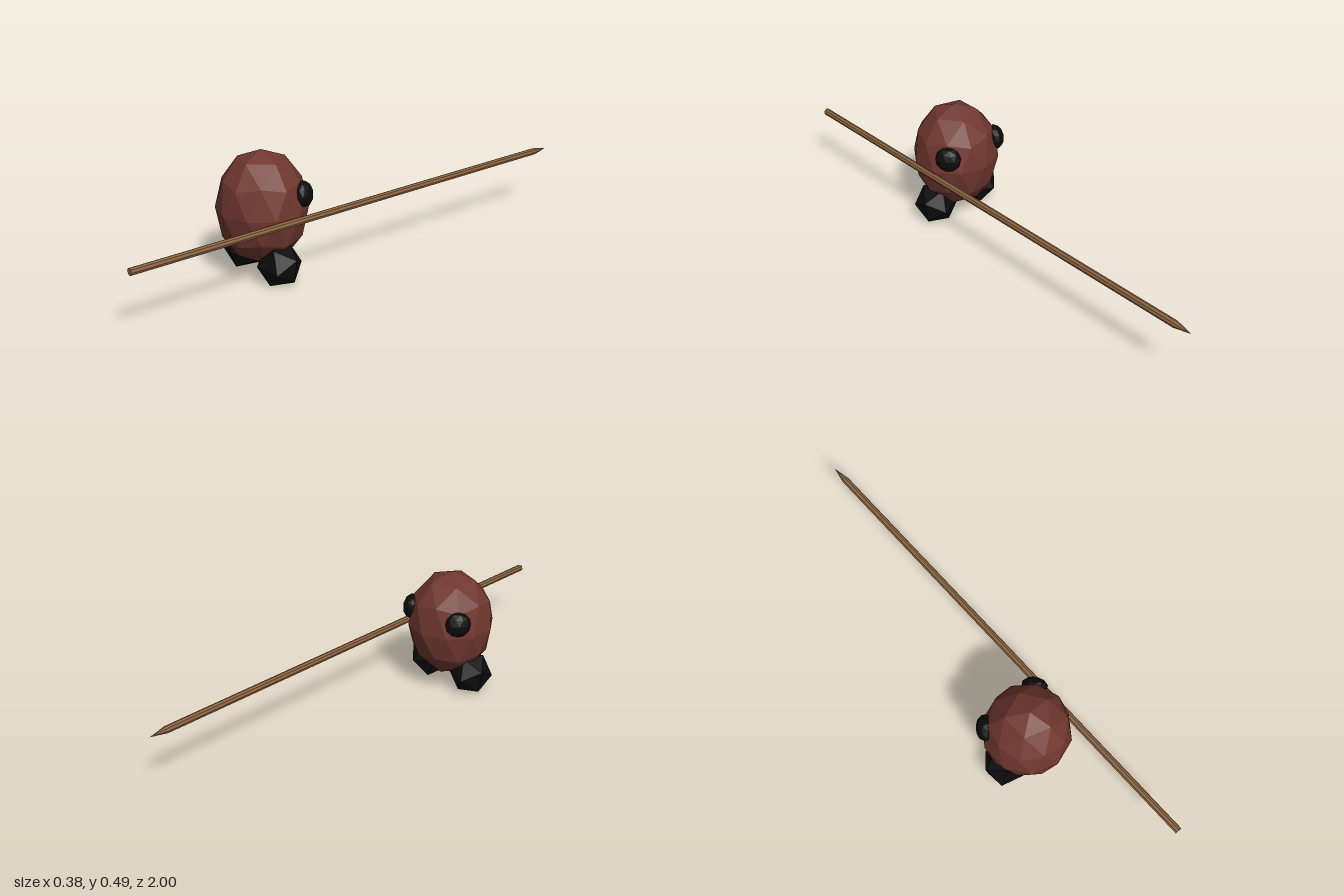
import * as THREE from 'three';

const flat = (name, color) => {
  const m = new THREE.MeshStandardMaterial({ color, flatShading: true });
  m.name = name;
  return m;
};

export function createModel() {
  const model = new THREE.Group();
  model.name = 'roundCreatureWithSpear';
  const red = flat('reddish brown', 0x70372f);
  const black = flat('black', 0x0c0c0d);
  const wood = flat('wood brown', 0x8b6340);

  const add = (name, geometry, material, x, y, z) => {
    const mesh = new THREE.Mesh(geometry, material);
    mesh.name = name;
    mesh.position.set(x, y, z);
    model.add(mesh);
    return mesh;
  };
  const rad = THREE.MathUtils.degToRad;

  // Egg-shaped body: an icosphere turned so that a corner points straight up
  const pole = Math.atan(2 / (1 + Math.sqrt(5)));
  const bodyGeo = new THREE.IcosahedronGeometry(1, 1).rotateZ(-pole).scale(0.173, 0.2205, 0.173);
  add('body', bodyGeo, red, 0, 0.2735, 0.352);

  for (const s of [1, -1]) {
    const side = s > 0 ? 'left' : 'right';

    // Faceted foot, splayed outwards
    const foot = new THREE.IcosahedronGeometry(0.088, 0)
      .rotateX(rad(-17 * s))
      .rotateZ(rad(-90 - 10 * s));
    add(side + 'Foot', foot, black, 0.1095 * s, 0.079, 0.357);

    // Flattened round spot on the back
    const spot = new THREE.IcosahedronGeometry(1, 1)
      .rotateZ(-pole)
      .scale(0.051, 0.05, 0.034)
      .rotateX(rad(-10))
      .rotateY(rad(180 - 52 * s));
    add(side + 'BackSpot', spot, black, 0.125 * s, 0.335, 0.254);
  }

  // Spear held along the left side, its point to the rear
  const shaft = new THREE.CylinderGeometry(0.014, 0.014, 1.93, 8).rotateX(-Math.PI / 2);
  add('spearShaft', shaft, wood, 0.165, 0.253, 0.035);
  const tip = new THREE.ConeGeometry(0.014, 0.07, 8).rotateX(-Math.PI / 2);
  add('spearTip', tip, wood, 0.165, 0.253, -0.965);

  return model;
}
